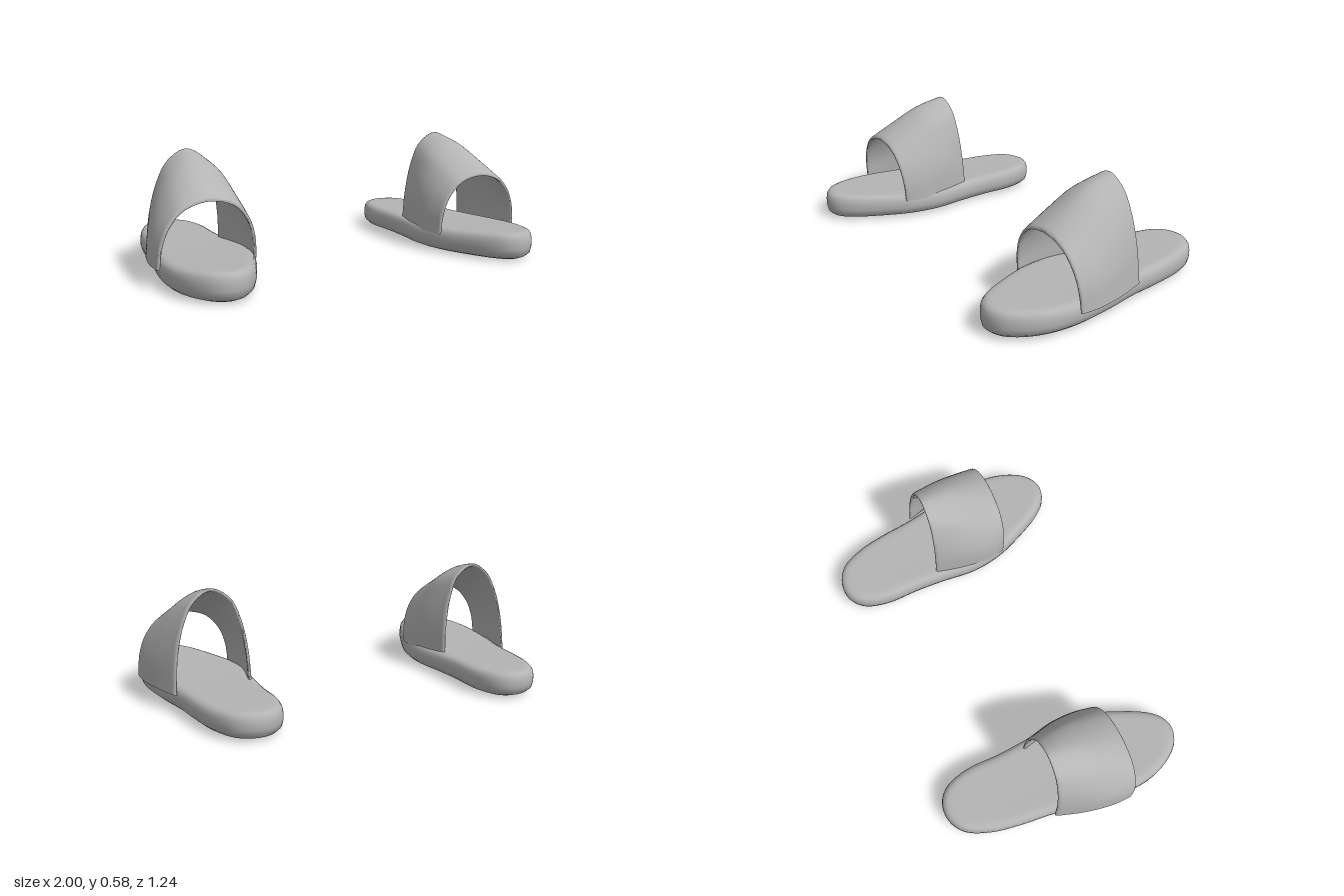
import * as THREE from 'three';
import { toCreasedNormals } from 'three/addons/utils/BufferGeometryUtils.js';

const rubber = new THREE.MeshStandardMaterial({ color: 0xb4b4b4 });
rubber.name = 'grey rubber';

// Joins equal-length rings of points into a skin; each ring closes on itself.
// The first and last rings are capped with a fan. side = -1 mirrors in x.
function skin(rings, side, crease) {
  const n = rings[0].length, pos = [], idx = [];
  const tri = (a, b, c) => (side > 0 ? idx.push(a, b, c) : idx.push(a, c, b));
  rings.forEach(r => r.forEach(p => pos.push(p.x * side, p.y, p.z)));
  for (let i = 0; i < rings.length - 1; i++) {
    for (let j = 0; j < n; j++) {
      const a = i * n + j, b = i * n + (j + 1) % n;
      tri(a, a + n, b);
      tri(b, a + n, b + n);
    }
  }
  [0, rings.length - 1].forEach((r, end) => {
    const c = new THREE.Vector3();
    rings[r].forEach(p => c.addScaledVector(p, 1 / n));
    const k = pos.length / 3;
    pos.push(c.x * side, c.y, c.z);
    for (let j = 0; j < n; j++) {
      const a = r * n + j, b = r * n + (j + 1) % n;
      if (end) tri(a, k, b); else tri(a, b, k);
    }
  });
  const g = new THREE.BufferGeometry();
  g.setAttribute('position', new THREE.Float32BufferAttribute(pos, 3));
  g.setIndex(idx);
  return toCreasedNormals(g, crease);
}

// Foot-shaped outline [x, z], from the toe along the inner side to the heel and back
const outline = [
  [0.77, 0.62], [0.705, 0.6], [0.643, 0.535], [0.572, 0.4], [0.51, 0.24], [0.488, 0.08],
  [0.505, -0.1], [0.514, -0.25], [0.515, -0.43], [0.55, -0.55], [0.605, -0.605],
  [0.67, -0.622], [0.74, -0.607], [0.80, -0.56], [0.855, -0.44], [0.883, -0.3],
  [0.905, -0.12], [0.945, 0.08], [0.966, 0.27], [0.953, 0.41], [0.908, 0.525], [0.845, 0.596],
];

function soleGeometry(side) {
  const curve = new THREE.CatmullRomCurve3(outline.map(([x, z]) => new THREE.Vector3(x, 0, z)), true);
  const N = 96;
  const edge = [];
  for (let i = 0; i < N; i++) {
    const t = curve.getTangent(i / N);
    edge.push({ p: curve.getPoint(i / N), inward: new THREE.Vector3(-t.z, 0, t.x) });
  }
  const mid = new THREE.Vector3(0.72, 0, 0);
  // The footbed curls up a little at toe and heel
  const lift = z => (z > 0 ? 0.018 : 0.008) * Math.min(1, (z / 0.55) ** 2);
  // Rim profile: [inset, height, share of lift, pull to the middle]
  const profile = [
    [0.06, 0, 0, 0.6], [0.06, 0, 0, 0.1], [0.05, 0.004, 0, 0], [0.025, 0.014, 0, 0],
    [0.007, 0.03, 0, 0], [0, 0.055, 0.3, 0], [0, 0.08, 0.7, 0], [0.004, 0.1, 1, 0],
    [0.014, 0.115, 1, 0], [0.03, 0.122, 1, 0], [0.05, 0.123, 1, 0],
    [0.05, 0.122, 1, 0.25], [0.05, 0.121, 1, 0.5], [0.05, 0.121, 1, 0.75],
  ];
  const rings = profile.map(([inset, y, share, pull]) => edge.map(({ p, inward }) => {
    const q = p.clone().addScaledVector(inward, inset).lerp(mid, pull);
    q.y = y + share * lift(q.z);
    return q;
  }));
  return skin(rings, side, 0.9);
}

// Arch sections of the strap from front to back: base z, apex z, points [x, y]
const arches = [
  { z0: 0.27, z1: 0.297, pts: [[0.515, 0.097], [0.522, 0.2], [0.555, 0.295], [0.63, 0.373], [0.76, 0.402], [0.88, 0.366], [0.95, 0.29], [0.985, 0.2], [0.997, 0.097]] },
  { z0: 0.17, z1: 0.18, pts: [[0.496, 0.097], [0.506, 0.22], [0.545, 0.335], [0.62, 0.432], [0.75, 0.473], [0.86, 0.428], [0.935, 0.335], [0.982, 0.22], [0.997, 0.097]] },
  { z0: 0.03, z1: 0.05, pts: [[0.506, 0.097], [0.512, 0.25], [0.552, 0.39], [0.61, 0.492], [0.735, 0.544], [0.835, 0.495], [0.908, 0.39], [0.955, 0.25], [0.972, 0.097]] },
  { z0: -0.124, z1: -0.095, pts: [[0.538, 0.097], [0.546, 0.26], [0.575, 0.42], [0.625, 0.53], [0.72, 0.584], [0.812, 0.533], [0.868, 0.43], [0.906, 0.28], [0.923, 0.097]] },
];

function strapGeometry(side) {
  const across = 48, along = 24, thick = 0.017;
  const curves = arches.map(({ z0, z1, pts }) => new THREE.CatmullRomCurve3(
    pts.map(([x, y]) => new THREE.Vector3(x, y, z0 + (z1 - z0) * Math.min(1, (y - 0.097) / (pts[4][1] - 0.097))))));
  const rings = [];
  for (let i = 0; i <= across; i++) {
    const u = i / across;
    const run = new THREE.CatmullRomCurve3(curves.map(c => c.getPoint(u)));
    const outer = [], inner = [];
    for (let j = 0; j <= along; j++) {
      // Samples bunch up at both rims, where the edge is rounded off
      const v = (1 - Math.cos(Math.PI * j / along)) / 2;
      const p = run.getPoint(v);
      const tan = curves[0].getTangent(u).lerp(curves[3].getTangent(u), v).normalize();
      const inward = new THREE.Vector3(tan.y, -tan.x, 0);
      const d = Math.min(1, Math.min(v, 1 - v) / 0.03);
      const round = (1 - Math.sqrt(1 - (1 - d) ** 2)) * thick * 0.42;
      outer.push(p.clone().addScaledVector(inward, round));
      inner.push(p.clone().addScaledVector(inward, thick - round));
    }
    rings.push([...outer, ...inner.reverse()]);
  }
  return skin(rings, side, 0.9);
}

export function createModel() {
  const model = new THREE.Group();
  model.name = 'slides';
  for (const [side, label] of [[1, 'left'], [-1, 'right']]) {
    const slide = new THREE.Group();
    slide.name = label + 'Slide';
    const sole = new THREE.Mesh(soleGeometry(side), rubber);
    sole.name = label + 'Sole';
    const strap = new THREE.Mesh(strapGeometry(side), rubber);
    strap.name = label + 'Strap';
    slide.add(sole, strap);
    model.add(slide);
  }
  return model;
}
